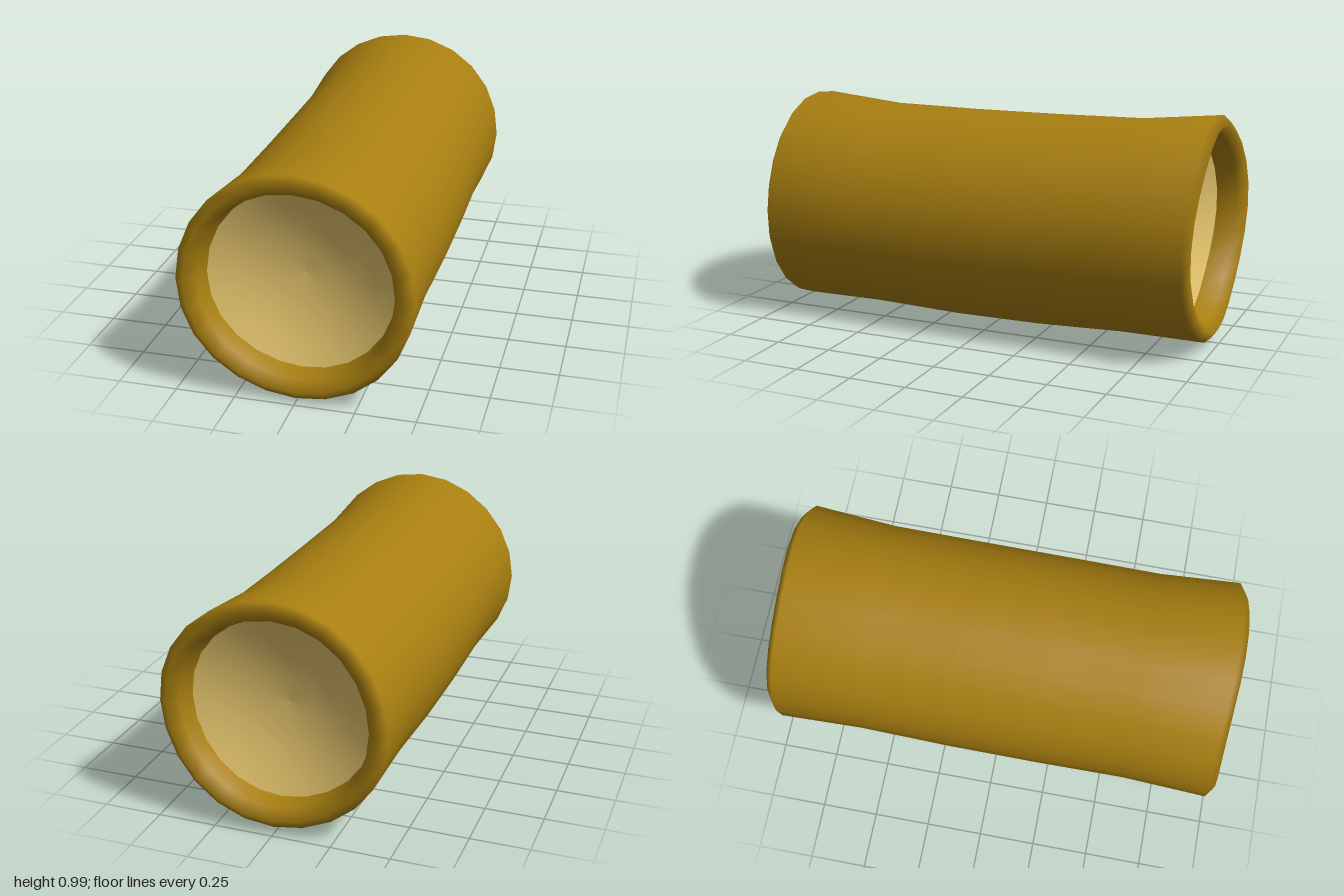
import * as THREE from 'three';

const SIDES = 24;

// Turn a profile of [radius, z] points around z, then bend it gently
function turned(profile, material, name) {
  const points = profile.map(([r, z]) => new THREE.Vector2(r, z));
  const geometry = new THREE.LatheGeometry(points, SIDES);
  geometry.rotateX(Math.PI / 2);
  const p = geometry.attributes.position;
  for (let i = 0; i < p.count; i++) {
    const x = p.getX(i), y = p.getY(i), z = p.getZ(i);
    // hand-made unevenness of the two rims
    const angle = Math.atan2(y, x);
    const wobble = Math.abs(z) > 0.84
      ? 0.008 * (1 + Math.sin(3 * angle + (z > 0 ? 0.6 : 2.2))) * Math.sign(z) : 0;
    p.setXYZ(i,
      x - 0.006 * z * Math.abs(z),
      y + 0.47 + 0.03 * z * z - 0.009 * z,
      z - wobble);
  }
  const mesh = new THREE.Mesh(geometry, material);
  mesh.name = name;
  return mesh;
}

export function createModel() {
  const bark = new THREE.MeshStandardMaterial({ color: 0xa87f10 });
  bark.name = 'golden brown';
  const core = new THREE.MeshStandardMaterial({ color: 0xe2c36c });
  core.name = 'pale tan';

  const group = new THREE.Group();
  group.name = 'log';

  // Outer skin with rounded rims that turn into both ends
  const half = [[0.47, 0.2], [0.466, 0.6], [0.484, 0.97], [0.445, 1], [0.402, 0.96], [0.39, 0.87]];
  const back = half.map(([r, z]) => [r, -z]).reverse();
  group.add(turned([...back, ...half], bark, 'skin'));

  // Shallow dished core recessed in each end
  const dish = [1, 0.75, 0.5, 0.25, 0].map((t) => [0.391 * t, 0.77 + 0.1 * t * t]);
  group.add(turned(dish, core, 'frontCore'));
  group.add(turned(dish.map(([r, z]) => [r, -z]).reverse(), core, 'backCore'));

  return group;
}
